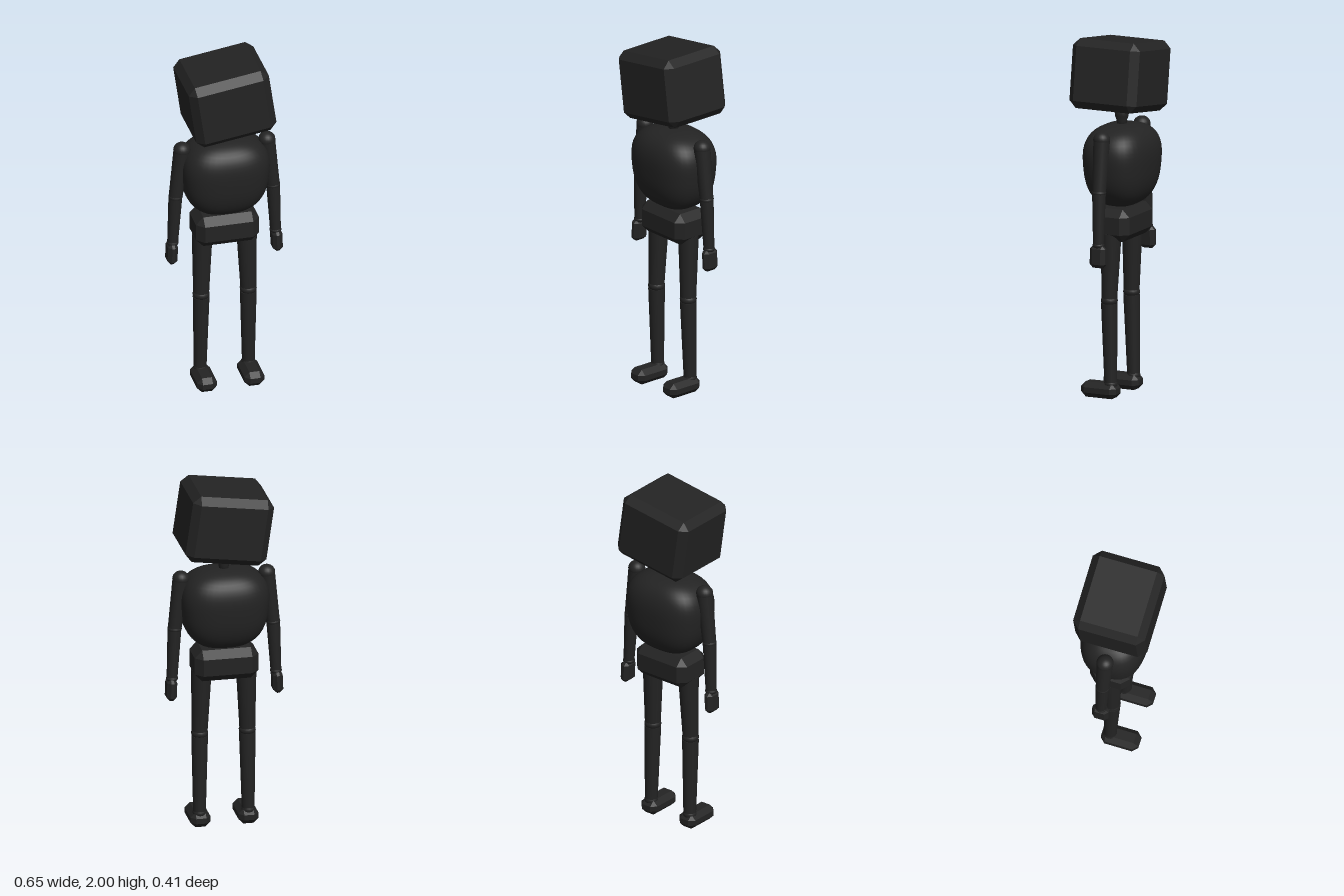
import * as THREE from 'three';
import { ConvexGeometry } from 'three/addons/geometries/ConvexGeometry.js';

const charcoal = new THREE.MeshStandardMaterial({ color: 0x232323 });
charcoal.name = 'charcoal';

function part(name, geometry, x = 0, y = 0, z = 0) {
  const mesh = new THREE.Mesh(geometry, charcoal);
  mesh.name = name;
  mesh.position.set(x, y, z);
  return mesh;
}

// Box with every edge cut by c and triangular corners
function chamferBox(w, h, d, c) {
  const points = [];
  for (const sx of [-1, 1]) for (const sy of [-1, 1]) for (const sz of [-1, 1]) {
    const x = w / 2, y = h / 2, z = d / 2;
    points.push(
      new THREE.Vector3(sx * x, sy * (y - c), sz * (z - c)),
      new THREE.Vector3(sx * (x - c), sy * y, sz * (z - c)),
      new THREE.Vector3(sx * (x - c), sy * (y - c), sz * z));
  }
  return new ConvexGeometry(points);
}

// Tapered limb from point a (upper) to point b (lower)
function limb(name, a, b, ra, rb) {
  const top = new THREE.Vector3(...a), bottom = new THREE.Vector3(...b);
  const axis = top.clone().sub(bottom);
  const mesh = part(name, new THREE.CylinderGeometry(ra, rb, axis.length(), 20));
  mesh.position.copy(top).add(bottom).multiplyScalar(0.5);
  mesh.quaternion.setFromUnitVectors(new THREE.Vector3(0, 1, 0), axis.normalize());
  return mesh;
}

function joint(name, r, squash, x, y, z) {
  return part(name, new THREE.SphereGeometry(r, 20, 14).scale(1, squash, 1), x, y, z);
}

// Rounded, boxy chest that narrows towards the waist
function chestGeometry() {
  const g = new THREE.SphereGeometry(1, 48, 32);
  const p = g.attributes.position;
  const v = new THREE.Vector3();
  const n = 2.7;
  for (let i = 0; i < p.count; i++) {
    v.fromBufferAttribute(p, i);
    const k = (Math.abs(v.x) ** n + Math.abs(v.y) ** n + Math.abs(v.z) ** n) ** (-1 / n);
    v.multiplyScalar(k);
    const taper = 0.98 + 0.09 * v.y;
    p.setXYZ(i, v.x * 0.248 * taper, v.y * 0.228, v.z * 0.186 * taper);
  }
  g.computeVertexNormals();
  // Match normals along the seam at the back of the sphere grid
  const nrm = g.attributes.normal;
  for (let r = 0; r <= 32; r++) {
    const a = r * 49, b = a + 48;
    v.fromBufferAttribute(nrm, a);
    v.add(new THREE.Vector3().fromBufferAttribute(nrm, b)).normalize();
    nrm.setXYZ(a, v.x, v.y, v.z);
    nrm.setXYZ(b, v.x, v.y, v.z);
  }
  return g;
}

function createArm(side, label) {
  const arm = new THREE.Group();
  arm.name = label + 'Arm';
  arm.add(
    joint('shoulder', 0.047, 0.92, side * 0.24, 1.465, -0.012),
    limb('upperArm', [side * 0.24, 1.46, -0.012], [side * 0.274, 1.18, -0.014], 0.046, 0.038),
    joint('elbow', 0.04, 0.6, side * 0.275, 1.175, -0.014),
    limb('forearm', [side * 0.276, 1.17, -0.014], [side * 0.29, 0.89, -0.018], 0.038, 0.03),
    joint('wrist', 0.033, 0.6, side * 0.29, 0.885, -0.018));
  const hand = part('hand', chamferBox(0.056, 0.125, 0.094, 0.02), side * 0.296, 0.823, -0.019);
  hand.rotation.z = side * 0.04;
  arm.add(hand);
  return arm;
}

function createLeg(side, label) {
  const leg = new THREE.Group();
  leg.name = label + 'Leg';
  leg.add(
    limb('thigh', [side * 0.125, 0.92, -0.012], [side * 0.133, 0.56, -0.004], 0.057, 0.044),
    joint('knee', 0.047, 0.72, side * 0.133, 0.545, -0.004),
    limb('shin', [side * 0.133, 0.53, -0.004], [side * 0.136, 0.08, -0.014], 0.046, 0.035),
    joint('ankle', 0.038, 0.8, side * 0.136, 0.08, -0.014),
    part('foot', chamferBox(0.112, 0.086, 0.214, 0.028), side * 0.134, 0.043, 0.047));
  return leg;
}

export function createModel() {
  const model = new THREE.Group();
  model.name = 'mannequin';

  // Tilted block head
  const head = part('head', chamferBox(0.458, 0.385, 0.41, 0.041), 0, 1.784, -0.001);
  head.rotation.set(0, 0.01, 0.143);

  // Neck flares towards the head
  const neckProfile = [[0, 1.48], [0.026, 1.48], [0.028, 1.53], [0.038, 1.555],
    [0.04, 1.585], [0.03, 1.61], [0, 1.615]].map(([r, y]) => new THREE.Vector2(r, y));

  model.add(
    head,
    part('neck', new THREE.LatheGeometry(neckProfile, 20), 0, 0, -0.012),
    part('chest', chestGeometry(), 0, 1.285, -0.015),
    part('pelvis', chamferBox(0.356, 0.18, 0.228, 0.042), 0, 0.97, -0.015));

  for (const [side, label] of [[1, 'left'], [-1, 'right']]) {
    model.add(createArm(side, label), createLeg(side, label));
  }
  return model;
}
